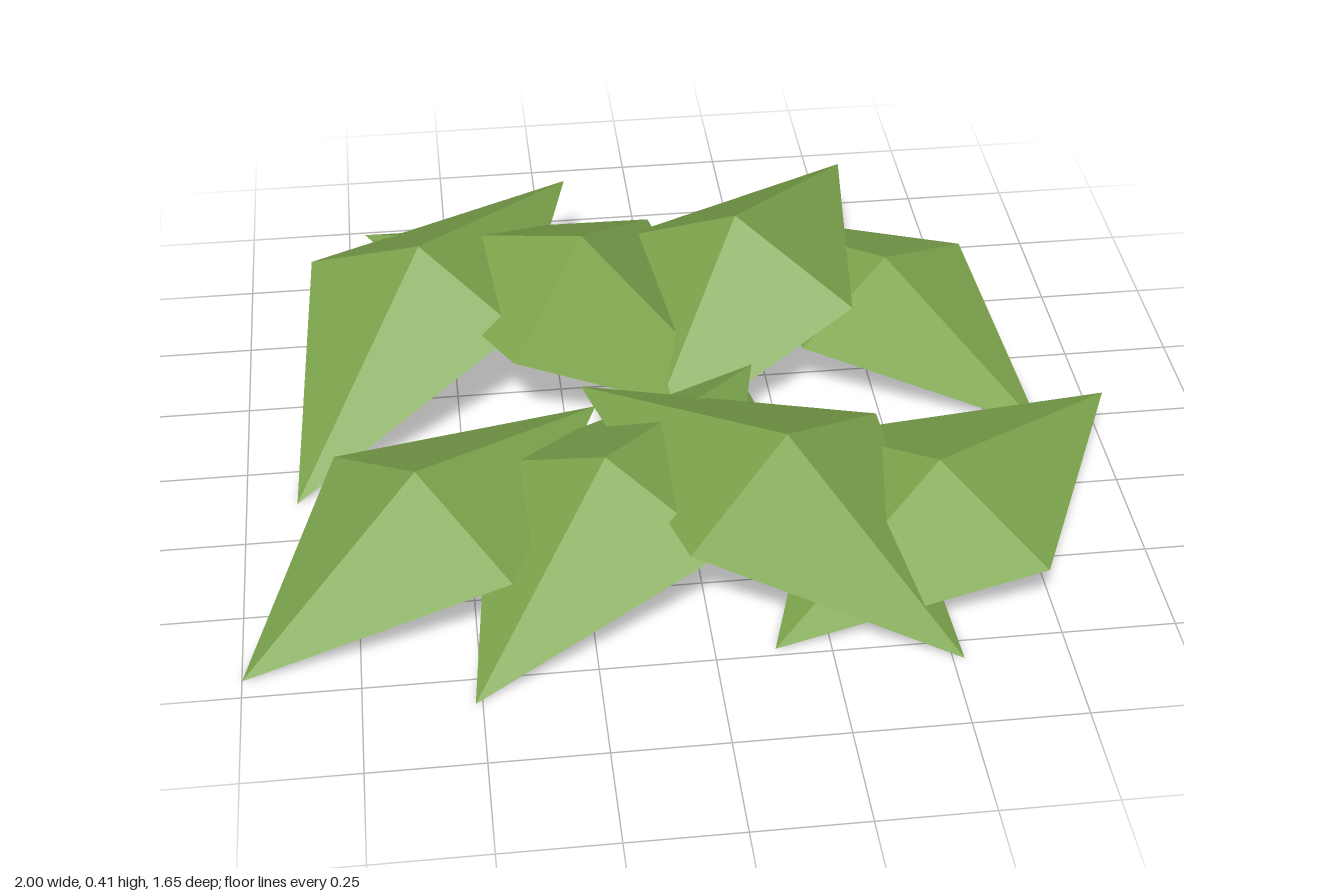
import * as THREE from 'three';

// Each leaf is an open four-sided tent: a peak, then corners in ring order:
// low tip, side, raised tip, other side. Points are [x, y, z].
const LEAVES = {
  frontOuterRightLeaf: [[-0.61, 0.29, 0.40], [-1, 0, 0.70], [-0.42, 0.16, 0.64], [-0.19, 0.16, 0.04], [-0.79, 0.16, 0.16]],
  frontInnerRightLeaf: [[-0.20, 0.30, 0.41], [-0.515, 0, 0.825], [0.04, 0.17, 0.60], [0.19, 0.16, -0.08], [-0.445, 0.17, 0.23]],
  frontInnerLeftLeaf: [[0.19, 0.355, 0.445], [0.525, 0, 0.805], [0.43, 0.22, 0.22], [-0.22, 0.19, 0], [-0.045, 0.216, 0.66]],
  frontOuterLeftLeaf: [[0.53, 0.25, 0.44], [0.13, 0, 0.73], [0.72, 0.145, 0.71], [0.995, 0.13, 0.085], [0.32, 0.145, 0.18]],
  backOuterRightLeaf: [[-0.57, 0.40, -0.31], [-0.885, 0, 0.12], [-0.35, 0.25, -0.155], [-0.19, 0.23, -0.83], [-0.83, 0.25, -0.50]],
  backInnerRightLeaf: [[-0.187, 0.40, -0.31], [0.23, 0, -0.04], [0, 0.25, -0.595], [-0.70, 0.23, -0.635], [-0.37, 0.25, -0.025]],
  backInnerLeftLeaf: [[0.183, 0.41, -0.34], [-0.097, 0, 0.055], [0.44, 0.25, -0.155], [0.52, 0.23, -0.83], [-0.07, 0.25, -0.525]],
  backOuterLeftLeaf: [[0.55, 0.27, -0.33], [0.87, 0, 0.035], [0.78, 0.16, -0.53], [0.17, 0.15, -0.775], [0.32, 0.16, -0.13]],
};

// Four flat facets fanned around the peak
function leafGeometry([peak, ...ring]) {
  const points = ring.flatMap((corner, i) => [...peak, ...corner, ...ring[(i + 1) % ring.length]]);
  const geometry = new THREE.BufferGeometry();
  geometry.setAttribute('position', new THREE.Float32BufferAttribute(points, 3));
  geometry.computeVertexNormals();
  // Turn the facets to face upwards whichever way the ring runs
  if (geometry.attributes.normal.getY(0) < 0) {
    const flipped = [];
    for (let i = 0; i < points.length; i += 9) {
      flipped.push(...points.slice(i, i + 3), ...points.slice(i + 6, i + 9), ...points.slice(i + 3, i + 6));
    }
    geometry.setAttribute('position', new THREE.Float32BufferAttribute(flipped, 3));
    geometry.computeVertexNormals();
  }
  return geometry;
}

export function createModel() {
  const leafGreen = new THREE.MeshStandardMaterial({ color: 0x7ca44c, side: THREE.DoubleSide, flatShading: true });
  leafGreen.name = 'leaf green';

  const group = new THREE.Group();
  group.name = 'leafPatch';
  for (const [name, points] of Object.entries(LEAVES)) {
    const leaf = new THREE.Mesh(leafGeometry(points), leafGreen);
    leaf.name = name;
    group.add(leaf);
  }
  return group;
}
